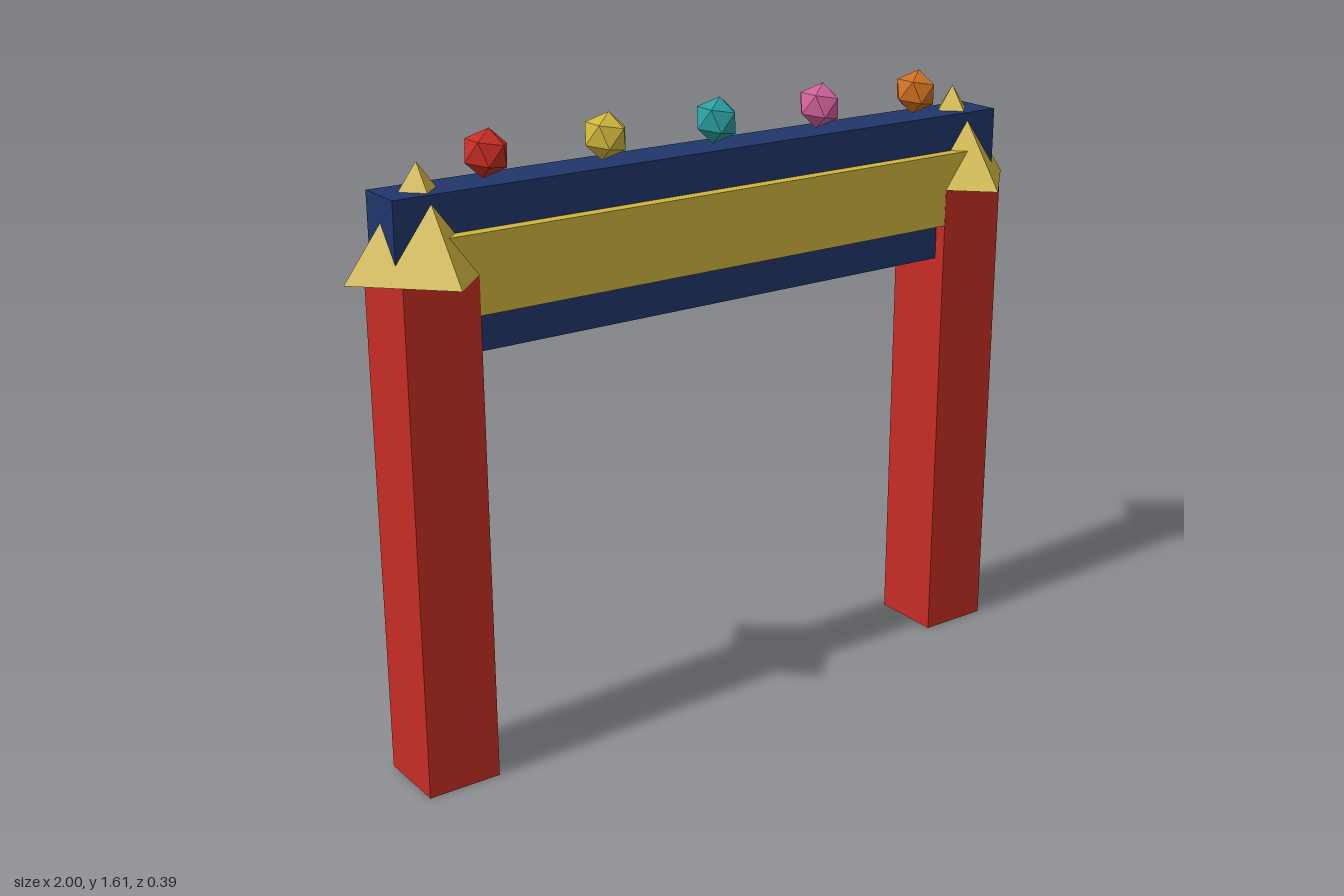
import * as THREE from 'three';

const paint = (name, color) => {
  const m = new THREE.MeshStandardMaterial({ color, flatShading: true });
  m.name = name;
  return m;
};

export function createModel() {
  const red = paint('red', 0xc62d24);
  const navy = paint('navy', 0x20356b);
  const gold = paint('gold', 0xcfb53c);
  const teal = paint('teal', 0x2a9d9d);
  const pink = paint('pink', 0xd0609a);
  const orange = paint('orange', 0xcc7020);

  const gate = new THREE.Group();
  gate.name = 'gate';
  const add = (name, geometry, material, x, y, z) => {
    const mesh = new THREE.Mesh(geometry, material);
    mesh.name = name;
    mesh.position.set(x, y, z);
    gate.add(mesh);
    return mesh;
  };

  // Square posts, each with a four-sided pointed cap
  const postGeo = new THREE.BoxGeometry(0.194, 1.29, 0.194);
  const capGeo = new THREE.ConeGeometry(0.194, 0.258, 4);
  for (const [side, s] of [['left', 1], ['right', -1]]) {
    add(side + 'Post', postGeo, red, s * 0.806, 0.645, 0);
    add(side + 'Cap', capGeo, gold, s * 0.806, 1.419, 0);
  }

  // Crossbeam running through the caps, and the sign panel on its front
  add('crossbeam', new THREE.BoxGeometry(1.804, 0.387, 0.129), navy, 0, 1.29, 0);
  add('signPanel', new THREE.BoxGeometry(1.612, 0.194, 0.04), gold, 0, 1.29, 0.0765);

  // Row of gems above the beam, each standing on a vertex and leaning slightly
  const gemGeo = new THREE.IcosahedronGeometry(0.058, 0);
  gemGeo.rotateZ(-Math.atan(2 / (1 + Math.sqrt(5))) - 0.18);
  [red, gold, teal, pink, orange].forEach((material, i) => {
    add(material.name + 'Gem', gemGeo, material, (i - 2) * 0.3225, 1.552, 0.032);
  });

  return gate;
}
